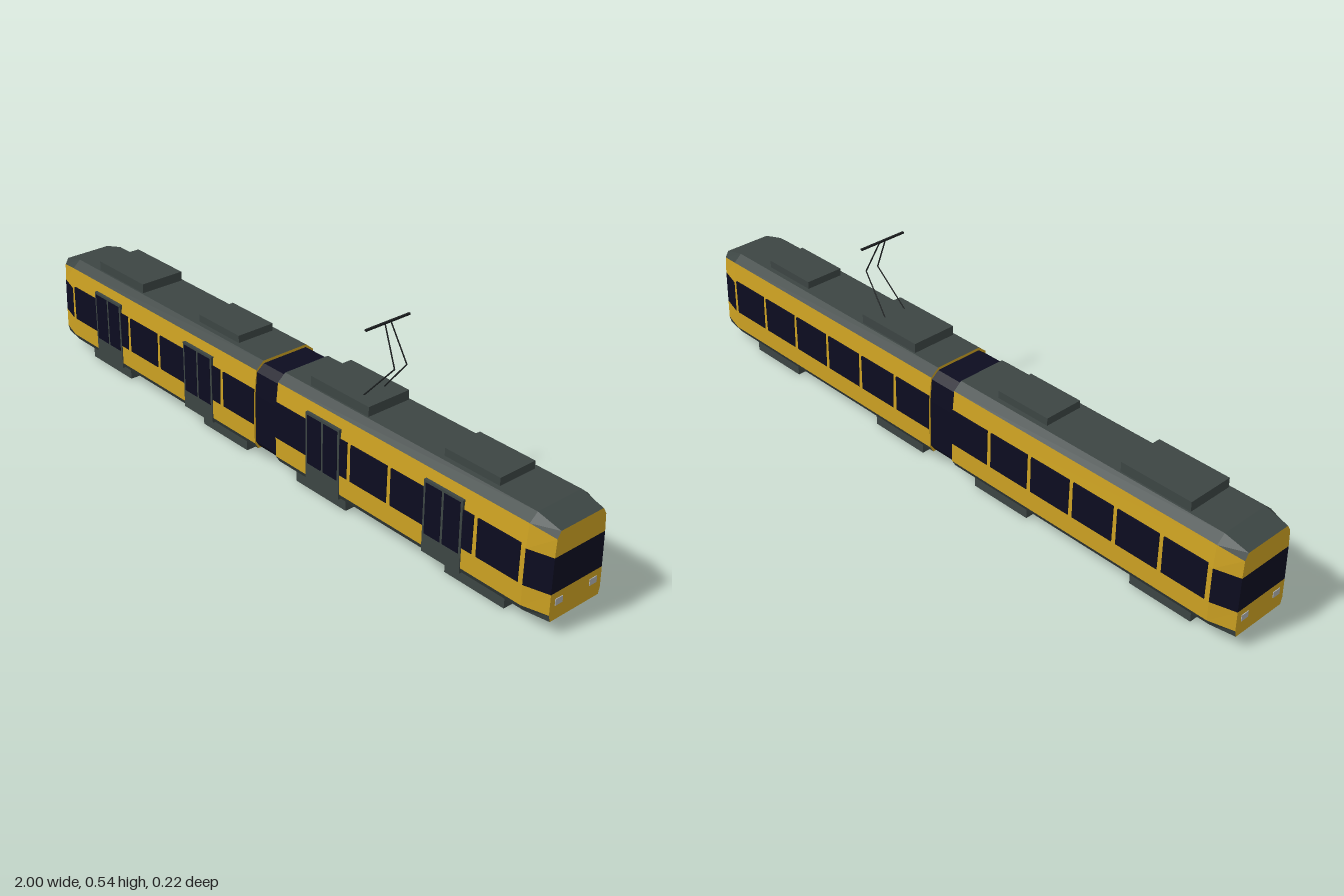
import * as THREE from 'three';

const mat = (name, color, side = THREE.FrontSide) => {
  const m = new THREE.MeshStandardMaterial({ color, side });
  m.name = name;
  return m;
};

export function createModel() {
  const yellow = mat('yellow paint', 0xcca122);
  const grey = mat('dark grey', 0x3c4543);
  const navy = mat('dark glass', 0x0c0c20);
  const black = mat('black metal', 0x1c1f20);
  const silver = mat('lamp silver', 0xaeb0b0);

  const tram = new THREE.Group();
  tram.name = 'tram';

  const add = (parent, name, geo, m) => {
    const mesh = new THREE.Mesh(geo, m);
    mesh.name = name;
    parent.add(mesh);
    return mesh;
  };
  // box given by its limits on each axis
  const block = (parent, name, m, x0, x1, y0, y1, z0, z1) => {
    const mesh = add(parent, name, new THREE.BoxGeometry(x1 - x0, y1 - y0, z1 - z0), m);
    mesh.position.set((x0 + x1) / 2, (y0 + y1) / 2, (z0 + z1) / 2);
    return mesh;
  };

  // cross-sections as [height, half width], from floor to roof
  const full = [[0.04, 0.097], [0.06, 0.109], [0.117, 0.109], [0.217, 0.107], [0.282, 0.1], [0.303, 0.075]];
  const nose = [[0.04, 0.085], [0.06, 0.09], [0.117, 0.089], [0.217, 0.087], [0.267, 0.084], [0.285, 0.073]];
  const stations = [[0.045, full], [0.93, full], [1, nose]];
  const last = full.length - 1;

  // body shell, collected as quads per colour
  function shell(parent) {
    const quads = new Map([[yellow, []], [grey, []], [navy, []]]);
    const quad = (m, a, b, c, d) => quads.get(m).push(...a, ...b, ...c, ...a, ...c, ...d);
    const pt = ([x, ring], i, s) => [x, ring[i][0], s * ring[i][1]];
    for (let k = 0; k < 2; k++) {
      const A = stations[k], B = stations[k + 1];
      const sides = [grey, yellow, k ? navy : yellow, yellow, grey];
      sides.forEach((m, i) => {
        quad(m, pt(A, i, 1), pt(B, i, 1), pt(B, i + 1, 1), pt(A, i + 1, 1));
        quad(m, pt(A, i + 1, -1), pt(B, i + 1, -1), pt(B, i, -1), pt(A, i, -1));
      });
      quad(grey, pt(A, last, 1), pt(B, last, 1), pt(B, last, -1), pt(A, last, -1));
      quad(grey, pt(A, 0, -1), pt(B, 0, -1), pt(B, 0, 1), pt(A, 0, 1));
    }
    // cab face and inner end wall
    const F = stations[2], R = stations[0];
    for (let i = 0; i < last; i++) {
      quad(i === 2 ? navy : yellow, pt(F, i, 1), pt(F, i, -1), pt(F, i + 1, -1), pt(F, i + 1, 1));
      quad(yellow, pt(R, i, -1), pt(R, i, 1), pt(R, i + 1, 1), pt(R, i + 1, -1));
    }
    const names = new Map([[yellow, 'bodyPanels'], [grey, 'roofAndSkirt'], [navy, 'cabWindow']]);
    for (const [m, v] of quads) {
      const g = new THREE.BufferGeometry();
      g.setAttribute('position', new THREE.Float32BufferAttribute(v, 3));
      g.computeVertexNormals();
      add(parent, names.get(m), g, m);
    }
  }

  // two mirrored cars
  for (const side of ['left', 'right']) {
    const car = new THREE.Group();
    car.name = side + 'Car';
    if (side === 'right') car.rotation.y = Math.PI;
    shell(car);
    const pitch = 0.1472;
    for (let i = 0; i < 6; i++) {
      const x0 = 0.047 + i * pitch;
      for (const s of [1, -1]) {
        const w = block(car, 'sideWindow', navy, x0, x0 + pitch - 0.014, 0.119, 0.226, 0.1025, 0.1105);
        w.position.z *= s;
      }
    }
    for (const s of [1, -1]) {
      block(car, 'headlight', silver, 0.998, 1.002, 0.081, 0.099, s * 0.06 - 0.0125, s * 0.06 + 0.0125);
    }
    tram.add(car);
  }

  // joint between the cars
  const j = [[0.048, 0.094], [0.065, 0.105], [0.21, 0.104], [0.276, 0.098], [0.295, 0.074]];
  const outline = [...j.map(([y, z]) => [z, y]), ...j.map(([y, z]) => [-z, y]).reverse()];
  const jointGeo = new THREE.ExtrudeGeometry(
    new THREE.Shape(outline.map(([z, y]) => new THREE.Vector2(z, y))),
    { depth: 0.1, bevelEnabled: false });
  jointGeo.translate(0, 0, -0.05).rotateY(Math.PI / 2);
  add(tram, 'joint', jointGeo, navy);

  // doors, on the front side only
  for (const [x0, x1] of [[-0.8, -0.67], [-0.36, -0.23], [0.17, 0.3], [0.605, 0.735]]) {
    const door = new THREE.Group();
    door.name = 'door';
    block(door, 'doorFrame', grey, x0, x1, 0.045, 0.252, 0.098, 0.1115);
    const mid = (x0 + x1) / 2;
    block(door, 'doorPane', navy, x0 + 0.007, mid - 0.004, 0.1, 0.245, 0.111, 0.1125);
    block(door, 'doorPane', navy, mid + 0.004, x1 - 0.007, 0.1, 0.245, 0.111, 0.1125);
    tram.add(door);
  }

  // roof equipment
  for (const [x0, x1, top, z] of [[-0.825, -0.605, 0.331, 0.07], [-0.347, -0.17, 0.325, 0.06],
    [0.143, 0.363, 0.331, 0.07], [0.62, 0.8, 0.325, 0.06]]) {
    block(tram, 'roofBox', grey, x0, x1, 0.298, top, -z, z);
  }

  // wheel housings
  for (const [x0, x1] of [[-0.865, -0.668], [-0.306, -0.109], [0.102, 0.3], [0.662, 0.86]]) {
    block(tram, 'wheelHousing', grey, x0, x1, 0, 0.045, -0.085, 0.085);
  }

  // current collector
  const collector = new THREE.Group();
  collector.name = 'currentCollector';
  const rod = (a, b) => {
    const A = new THREE.Vector3(...a), B = new THREE.Vector3(...b);
    const m = add(collector, 'collectorRod', new THREE.CylinderGeometry(0.002, 0.002, A.distanceTo(B), 6), black);
    m.position.copy(A).lerp(B, 0.5);
    m.quaternion.setFromUnitVectors(new THREE.Vector3(0, 1, 0), B.sub(A).normalize());
  };
  for (const s of [1, -1]) {
    rod([0.305, 0.328, s * 0.036], [0.4, 0.435, s * 0.021]);
    rod([0.4, 0.435, s * 0.021], [0.35, 0.54, s * 0.01]);
  }
  block(collector, 'contactBar', black, 0.347, 0.353, 0.538, 0.543, -0.075, 0.075);
  tram.add(collector);

  return tram;
}
